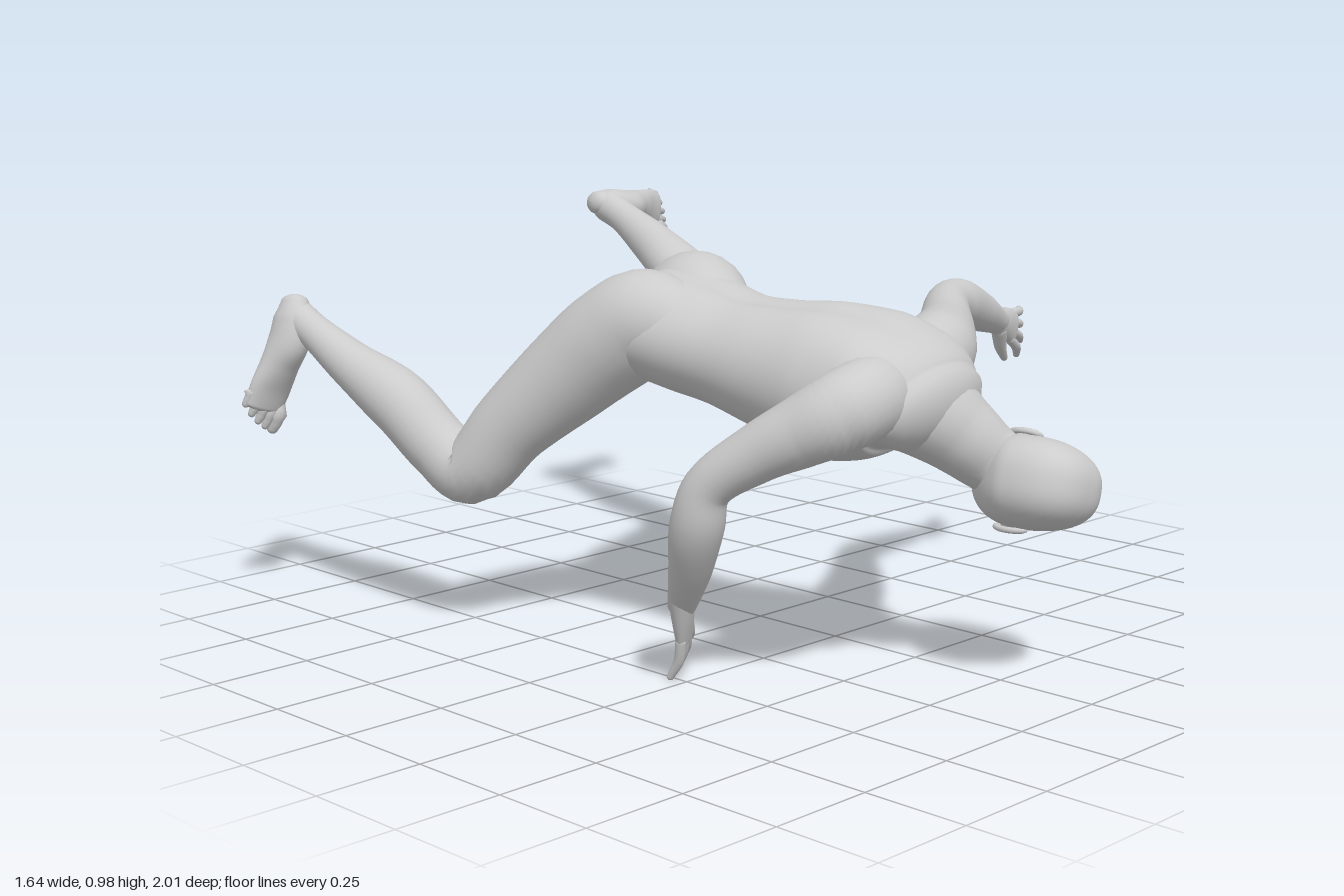
import * as THREE from 'three';

const skin = new THREE.MeshStandardMaterial({ color: 0xcccccc });
const V = (a) => new THREE.Vector3(a[0], a[1], a[2]);

// Smooth closed loft through stations [x, y, z, halfWidth, halfDepth], with rounded ends.
// side (easing to sideEnd) gives the width direction; shape(angle, t) can scale the radius.
function loft(name, stations, side, { sideEnd = side, steps = 6, seg = 24, cap = 1, shape = () => 1 } = {}) {
  const path = new THREE.CatmullRomCurve3(stations.map(V));
  const radii = new THREE.CatmullRomCurve3(stations.map((s) => new THREE.Vector3(s[3], s[4] ?? s[3], 0)));
  const n = (stations.length - 1) * steps;
  const rings = [];
  const addRing = (t, push, shrink) => {
    const tangent = path.getTangent(t);
    const r = radii.getPoint(t);
    const c = path.getPoint(t).addScaledVector(tangent, push * Math.min(r.x, r.y) * cap);
    const s = V(side).lerp(V(sideEnd), t);
    s.addScaledVector(tangent, -s.dot(tangent)).normalize();
    rings.push({ c, s, u: tangent.clone().cross(s), a: r.x * shrink, b: r.y * shrink, t });
  };
  const bend = [0.3, 0.65, 1.0, 1.3, 1.57];
  for (const a of [...bend].reverse()) addRing(0, -Math.sin(a), Math.cos(a));
  for (let i = 0; i <= n; i++) addRing(i / n, 0, 1);
  for (const a of bend) addRing(1, Math.sin(a), Math.cos(a));

  const pos = [], index = [];
  rings.forEach((g, i) => {
    for (let j = 0; j < seg; j++) {
      const th = (j / seg) * Math.PI * 2, k = shape(th, g.t);
      const p = g.c.clone().addScaledVector(g.s, Math.cos(th) * g.a * k).addScaledVector(g.u, Math.sin(th) * g.b * k);
      pos.push(p.x, p.y, p.z);
      if (i + 1 < rings.length) {
        const a = i * seg + j, b = i * seg + ((j + 1) % seg);
        index.push(a, b, a + seg, b, b + seg, a + seg);
      }
    }
  });
  const geo = new THREE.BufferGeometry();
  geo.setAttribute('position', new THREE.Float32BufferAttribute(pos, 3));
  geo.setIndex(index);
  geo.computeVertexNormals();
  const mesh = new THREE.Mesh(geo, skin);
  mesh.name = name;
  return mesh;
}

function ellipsoid(name, p, r) {
  const mesh = new THREE.Mesh(new THREE.SphereGeometry(1, 28, 20), skin);
  mesh.name = name;
  mesh.position.set(...p);
  mesh.scale.set(...r);
  return mesh;
}

// Group placed at p with local x near xDir and local y exactly along yDir
function frame(name, p, xDir, yDir, size = 1) {
  const y = V(yDir).normalize();
  const z = V(xDir).cross(y).normalize();
  const group = new THREE.Group();
  group.name = name;
  group.quaternion.setFromRotationMatrix(new THREE.Matrix4().makeBasis(y.clone().cross(z), y, z));
  group.position.set(...p);
  group.scale.setScalar(size);
  return group;
}

// Hand: local y along the fingers, x to the thumb, palm towards z * palm
function hand(name, p, thumbDir, dir, palm) {
  const g = frame(name, p, thumbDir, dir, 1.07);
  const x = [1, 0, 0];
  g.add(loft('palm', [[0, -0.03, 0, 0.03, 0.027], [0, 0.03, 0, 0.038, 0.023], [0, 0.085, 0, 0.043, 0.016]], x));
  for (let i = 0; i < 4; i++) {
    const k = i - 1.5, len = 0.105 - Math.abs(k - 0.4) * 0.013;
    g.add(loft('finger', [
      [k * 0.021, 0.08, 0, 0.012],
      [k * 0.029, 0.088 + len * 0.45, palm * 0.004, 0.0115],
      [k * 0.037, 0.083 + len, palm * 0.022, 0.008],
    ], x, { seg: 12, steps: 4 }));
  }
  g.add(loft('thumb', [[0.02, 0.015, 0, 0.02], [0.052, 0.055, palm * 0.012, 0.015], [0.074, 0.1, palm * 0.02, 0.009]],
    x, { seg: 12, steps: 4 }));
  return g;
}

// Foot: origin at the back of the heel on the sole, y up from the sole, z forward,
// inner = +1 or -1 puts the big toe on that side of x
function foot(name, p, xDir, upDir, inner) {
  const g = frame(name, p, xDir, upDir, 1.06);
  const x = [1, 0, 0];
  g.add(loft('footBody', [
    [0, 0.05, 0.022, 0.03, 0.038], [0, 0.058, 0.06, 0.04, 0.056], [0, 0.06, 0.11, 0.042, 0.057],
    [0, 0.045, 0.17, 0.047, 0.041], [0, 0.029, 0.23, 0.054, 0.027], [0, 0.021, 0.275, 0.051, 0.019],
  ], x, { cap: 0.7 }));
  for (let i = 0; i < 5; i++) {
    const tx = inner * (0.039 - i * 0.0205), r = i ? 0.0115 : 0.017, tip = 0.322 - i * i * 0.0028;
    g.add(loft('toe', [[tx * 0.95, 0.02, 0.262 - i * 0.004, r], [tx * 1.05, 0.021, tip - 0.02, r], [tx * 1.08, 0.014, tip, r * 0.8]],
      x, { seg: 12, steps: 3 }));
  }
  return g;
}

// Head: local y to the crown, z to the face, x to the left ear
function head() {
  const g = frame('head', [-0.028, 0.476, 0.837], [0.3, 0.95, 0], [0.05, 0.03, 1]);
  const geo = new THREE.SphereGeometry(1, 48, 36);
  const pos = geo.attributes.position;
  const e = 2.5;
  for (let i = 0; i < pos.count; i++) {
    let x = pos.getX(i), y = pos.getY(i), z = pos.getZ(i);
    const k = (Math.abs(x) ** e + Math.abs(y) ** e + Math.abs(z) ** e) ** (-1 / e); // fuller than a ball
    x *= k; y *= k; z *= k;
    const t = Math.max(0, -y);
    x *= 1 - 0.3 * t * t - (z > 0 ? 0.12 * z : 0);
    z = z * (z < 0 ? 1 - 0.4 * t : 1) + 0.33 * t * t; // narrow nape, chin pushed forward
    pos.setXYZ(i, x * 0.103, y * 0.157, z * 0.128);
  }
  geo.computeVertexNormals();
  const skull = new THREE.Mesh(geo, skin);
  skull.name = 'skull';
  g.add(skull);
  g.add(loft('nose', [[0, -0.012, 0.119, 0.009], [0, -0.042, 0.131, 0.011], [0, -0.064, 0.139, 0.016, 0.013]], [1, 0, 0], { seg: 16 }));
  g.add(ellipsoid('upperLip', [0, -0.094, 0.123], [0.026, 0.006, 0.013]));
  g.add(ellipsoid('lowerLip', [0, -0.107, 0.121], [0.023, 0.007, 0.013]));
  g.add(ellipsoid('chin', [0, -0.134, 0.1], [0.028, 0.02, 0.024]));
  for (const s of [-1, 1]) {
    g.add(ellipsoid('brow', [s * 0.037, 0.0, 0.113], [0.03, 0.009, 0.014]));
    g.add(ellipsoid('eye', [s * 0.036, -0.021, 0.112], [0.016, 0.008, 0.013]));
    const ear = new THREE.Mesh(new THREE.TorusGeometry(0.021, 0.007, 10, 24), skin);
    ear.name = 'ear';
    ear.position.set(s * 0.104, -0.02, -0.012);
    ear.rotation.set(0.15, s * 1.2, 0);
    ear.scale.set(0.8, 1.5, 1);
    g.add(ear, ellipsoid('innerEar', [s * 0.099, -0.022, -0.008], [0.008, 0.026, 0.016]));
  }
  return g;
}

// Torso relief: spine groove, shoulder blades and chest muscles
const bump = (v, centre, width) => Math.exp(-(((v - centre) / width) ** 2));
function torsoShape(th, t) {
  const back = Math.abs(th - Math.PI / 2), front = Math.abs(th - Math.PI * 1.5);
  return 1 - 0.08 * bump(back, 0, 0.2) * Math.sin(Math.PI * Math.min(1, t + 0.1))
    + 0.06 * bump(back, 0.65, 0.35) * bump(t, 0.78, 0.14)
    + 0.06 * bump(front, 0.55, 0.35) * bump(t, 0.7, 0.12) - 0.03 * bump(front, 0, 0.2) * bump(t, 0.65, 0.2);
}

export function createModel() {
  const model = new THREE.Group();
  model.name = 'figure';

  // Torso, twisting from hips to shoulders
  model.add(loft('torso', [
    [-0.31, 0.765, -0.09, 0.15, 0.1], [-0.295, 0.77, 0.0, 0.2, 0.132], [-0.29, 0.75, 0.1, 0.183, 0.132],
    [-0.285, 0.728, 0.21, 0.167, 0.13], [-0.275, 0.708, 0.33, 0.172, 0.147], [-0.25, 0.69, 0.45, 0.197, 0.166],
    [-0.222, 0.682, 0.56, 0.21, 0.154], [-0.205, 0.67, 0.645, 0.205, 0.128], [-0.2, 0.65, 0.695, 0.175, 0.1],
  ], [1, 0.1, 0], { sideEnd: [1, 0.17, -0.3], seg: 64, cap: 0.65, shape: torsoShape }));

  // Neck with its sloping muscles, and head turned to the left
  model.add(loft('neck', [
    [-0.21, 0.685, 0.56, 0.16, 0.125], [-0.175, 0.645, 0.655, 0.135, 0.11], [-0.125, 0.585, 0.715, 0.098, 0.09],
    [-0.075, 0.53, 0.76, 0.078], [-0.045, 0.495, 0.81, 0.07],
  ], [1, 0.2, -0.3]));
  model.add(head());

  // Arms: shoulder, upper arm, elbow, forearm, wrist
  model.add(loft('rightArm', [
    [-0.27, 0.68, 0.62, 0.085], [-0.36, 0.682, 0.655, 0.09], [-0.435, 0.66, 0.645, 0.088], [-0.485, 0.62, 0.585, 0.077],
    [-0.535, 0.57, 0.505, 0.064], [-0.59, 0.49, 0.41, 0.054], [-0.592, 0.405, 0.38, 0.06], [-0.56, 0.29, 0.325, 0.049],
    [-0.525, 0.19, 0.262, 0.033, 0.029],
  ], [0.6, 0, 0.8]));
  model.add(hand('rightHand', [-0.526, 0.19, 0.263], [0.85, 0.1, -0.5], [0.38, -0.86, -0.3], 1));
  model.add(loft('leftArm', [
    [-0.2, 0.69, 0.6, 0.08], [-0.1, 0.718, 0.585, 0.092], [-0.015, 0.735, 0.56, 0.09], [0.06, 0.745, 0.515, 0.08],
    [0.16, 0.757, 0.445, 0.067], [0.29, 0.787, 0.345, 0.054], [0.38, 0.778, 0.305, 0.06], [0.51, 0.74, 0.268, 0.05],
    [0.63, 0.7, 0.235, 0.033, 0.029],
  ], [0, 1, 0.1]));
  model.add(hand('leftHand', [0.628, 0.701, 0.236], [-0.2, -1, 0.1], [0.93, -0.28, -0.2], -1));

  // Legs: buttock, thigh, knee, calf, ankle
  model.add(loft('leftLeg', [
    [-0.25, 0.745, 0.14, 0.09], [-0.218, 0.805, 0.01, 0.123], [-0.155, 0.785, -0.07, 0.13], [-0.02, 0.75, -0.155, 0.113],
    [0.12, 0.713, -0.26, 0.092], [0.235, 0.68, -0.355, 0.077], [0.272, 0.71, -0.44, 0.073], [0.283, 0.785, -0.56, 0.077, 0.068],
    [0.325, 0.855, -0.73, 0.057], [0.35, 0.912, -0.87, 0.043], [0.355, 0.935, -0.93, 0.045],
  ], [0.8, 0, 0.6], { sideEnd: [1, 0, 0.2] }));
  model.add(foot('leftFoot', [0.3, 0.95, -0.997], [0.17, 1, 0], [0.05, 0, 1], -1));
  model.add(loft('rightLeg', [
    [-0.335, 0.735, 0.14, 0.09], [-0.382, 0.785, 0.01, 0.12], [-0.407, 0.742, -0.07, 0.126], [-0.46, 0.645, -0.18, 0.115],
    [-0.535, 0.52, -0.3, 0.094], [-0.588, 0.407, -0.395, 0.083], [-0.61, 0.45, -0.475, 0.077], [-0.64, 0.55, -0.59, 0.078],
    [-0.672, 0.632, -0.74, 0.058], [-0.695, 0.71, -0.875, 0.043], [-0.7, 0.735, -0.925, 0.045],
  ], [1, 0, 0]));
  model.add(foot('rightFoot', [-0.69, 0.79, -0.987], [1, -0.3, 0], [0, -0.03, 1], 1));

  return model;
}
